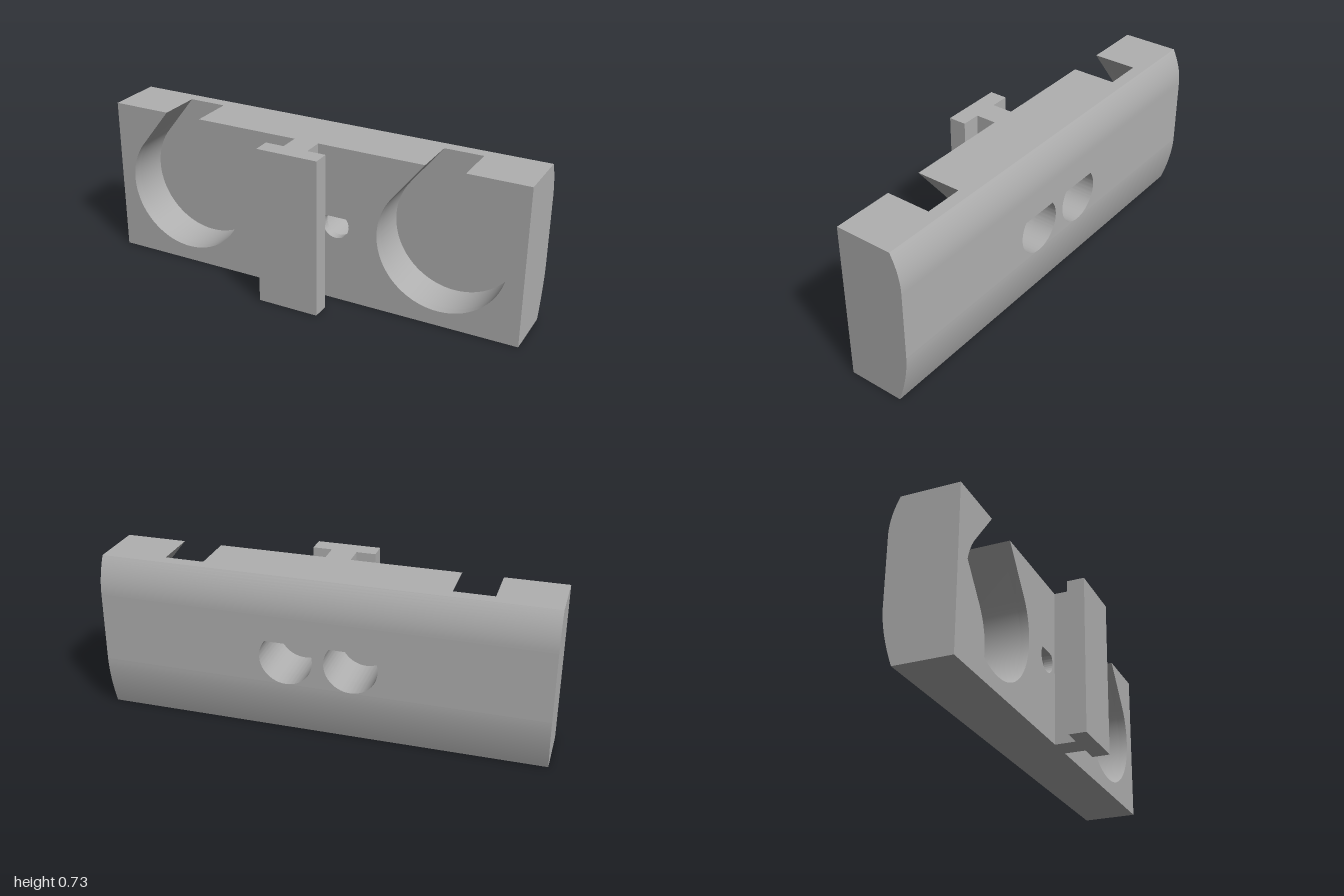
import * as THREE from 'three';
import { toCreasedNormals } from 'three/addons/utils/BufferGeometryUtils.js';

const H = 0.73, CY = 0.365, ANGLE = 0.667;      // body height, hole height, teardrop shoulder angle
const FRONT = 0.065, STEP = 0.025, FLOOR = -0.14, BACK = -0.24;
const HOLE_X = 0.145, POCKET_X = 0.635;
const LOW = 0.245, HIGH = 0.56;                 // flat band of the back face

// Closed teardrop: circle with two tangents meeting at an apex
function teardrop(x, r) {
  const p = new THREE.Path();
  p.moveTo(x, CY + r / Math.sin(ANGLE));
  p.absarc(x, CY, r, ANGLE, Math.PI - ANGLE, true);
  p.closePath();
  return p;
}

// Front outline with a teardrop pocket open at the top on each side
function pocketedOutline() {
  const s = new THREE.Shape();
  s.moveTo(-1, 0);
  s.lineTo(1, 0);
  s.lineTo(1, H);
  for (const x of [POCKET_X, -POCKET_X]) {
    s.lineTo(x + 0.088, H);
    s.absarc(x, CY, 0.295, ANGLE, Math.PI - ANGLE, true);
    s.lineTo(x - 0.088, H);
  }
  s.lineTo(-1, H);
  s.closePath();
  return s;
}

function band(y0, y1) {
  return new THREE.Shape([[-1, y0], [1, y0], [1, y1], [-1, y1]].map(([x, y]) => new THREE.Vector2(x, y)));
}

// Layer between two depths, pierced by a pair of teardrop holes
function layer(shape, z0, z1, holeRadius) {
  for (const x of [-HOLE_X, HOLE_X]) shape.holes.push(teardrop(x, holeRadius));
  const g = new THREE.ExtrudeGeometry(shape, { depth: z1 - z0, bevelEnabled: false, curveSegments: 40 });
  g.translate(0, 0, z0);
  return toCreasedNormals(g, 0.4);
}

// Rounded rear edge: side profile swept across the width
function roundedEdge(yFlat, yEnd, inset, power) {
  const pts = [new THREE.Vector2(-FLOOR, yEnd), new THREE.Vector2(-FLOOR, yFlat)];
  for (let i = 0; i <= 14; i++) {
    const t = i / 14;
    pts.push(new THREE.Vector2(-BACK - inset * Math.pow(t, power), yFlat + (yEnd - yFlat) * t));
  }
  const g = new THREE.ExtrudeGeometry(new THREE.Shape(pts), { depth: 2, bevelEnabled: false });
  g.translate(0, 0, -1);
  g.rotateY(Math.PI / 2);
  return toCreasedNormals(g, 0.3);
}

export function createModel() {
  const group = new THREE.Group();
  const grey = new THREE.MeshStandardMaterial({ color: 0xb0b0b0 });
  grey.name = 'grey';
  const add = (name, geometry) => {
    const m = new THREE.Mesh(geometry, grey);
    m.name = name;
    group.add(m);
    return m;
  };

  // Body: pocketed front layers, then the solid back
  add('frontWall', layer(pocketedOutline(), STEP, FRONT, 0.062));
  add('pocketLayer', layer(pocketedOutline(), FLOOR, STEP, 0.12));
  add('backPlate', layer(band(LOW, HIGH), BACK, FLOOR, 0.1199));
  add('upperBackEdge', roundedEdge(HIGH, H, 0.045, 2));
  add('lowerBackEdge', roundedEdge(LOW, 0, 0.052, 1.7));

  // T-shaped rail on the front
  const rail = (name, width, z0, z1) =>
    add(name, new THREE.BoxGeometry(width, H, z1 - z0)).position.set(0, H / 2, (z0 + z1) / 2);
  rail('railStem', 0.114, FRONT, 0.16);
  rail('railHead', 0.286, 0.16, 0.24);

  return group;
}
